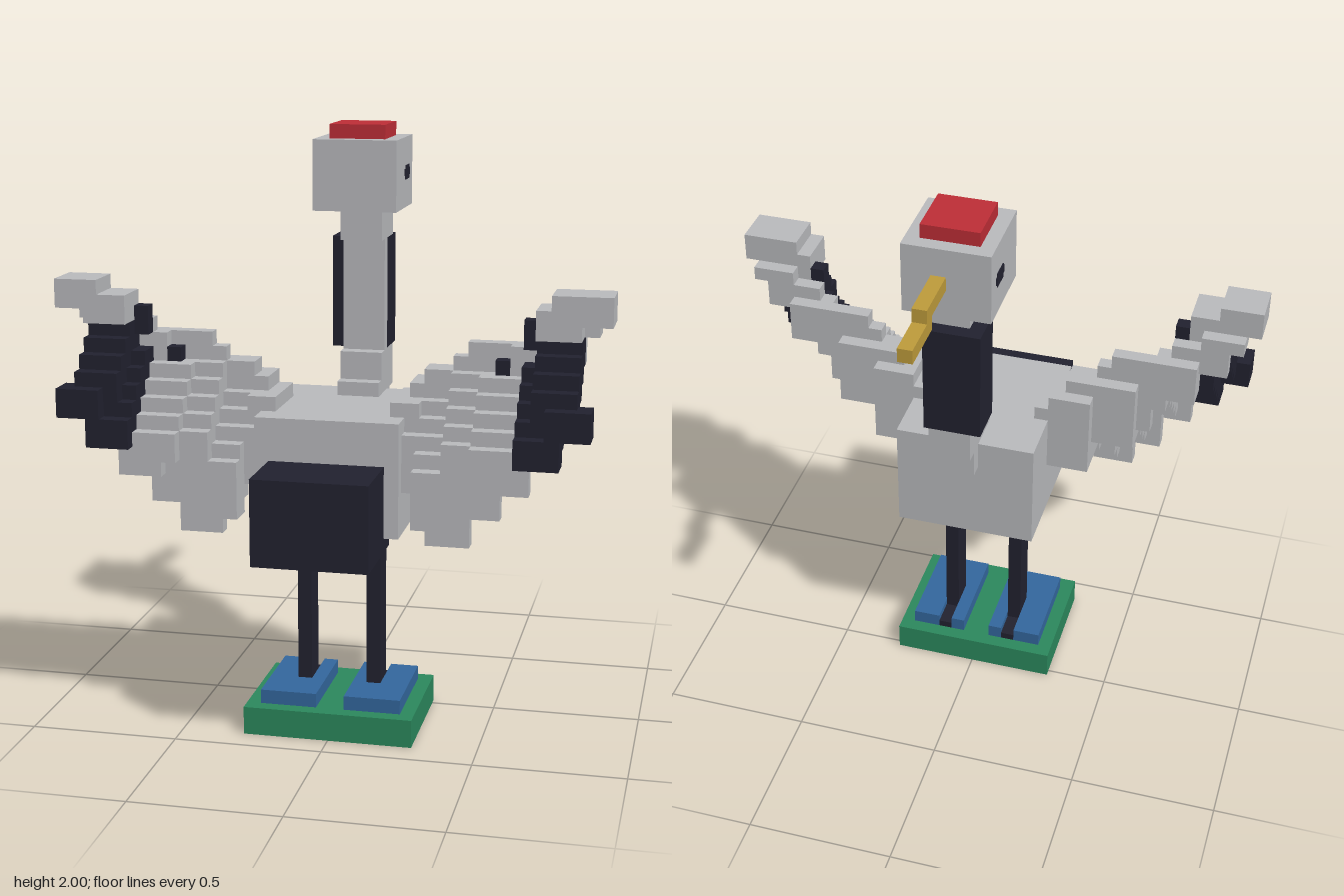
import * as THREE from 'three';

const U = 2 / 42; // one grid cell

const mat = (name, color) => {
  const m = new THREE.MeshStandardMaterial({ color });
  m.name = name;
  return m;
};

export function createModel() {
  const grey = mat('grey', 0xbbbcbf);
  const dark = mat('dark', 0x222230);
  const red = mat('red', 0xc02e37);
  const gold = mat('gold', 0xc09d3c);
  const blue = mat('blue', 0x34689f);
  const green = mat('green', 0x2c8a5e);

  const bird = new THREE.Group();
  bird.name = 'bird';
  // all parts are laid out in grid cells, then scaled
  bird.scale.setScalar(U);
  bird.position.set(-0.0025, 0, -0.0225);

  // box from its cell limits; side -1 mirrors it across x
  const box = (parent, name, m, [x0, x1, y0, y1, z0, z1], side = 1) => {
    const mesh = new THREE.Mesh(new THREE.BoxGeometry(x1 - x0, y1 - y0, z1 - z0), m);
    mesh.position.set(side * (x0 + x1) / 2, (y0 + y1) / 2, (z0 + z1) / 2);
    mesh.name = name;
    parent.add(mesh);
    return mesh;
  };

  // base, body, tail
  box(bird, 'base', green, [-6, 6, 0, 2, 0, 9]);
  box(bird, 'body', grey, [-5, 5, 15, 23, -2, 9]);
  box(bird, 'tail', dark, [-4, 4, 14, 20, 7, 14]);

  // neck
  box(bird, 'neckFront', grey, [-1, 2, 21, 23, -3, -2]);
  box(bird, 'neckFoot', grey, [-1, 2, 23, 24, -4, 1]);
  box(bird, 'neckLower', grey, [-1, 2, 24, 26, -4, 0]);
  box(bird, 'neckMiddle', grey, [-1, 2, 26, 34, -2, -1]);
  box(bird, 'neckUpper', grey, [-1, 2, 34, 36, -4, 0]);
  box(bird, 'throat', dark, [-2, 2, 26, 34, -5, -2]);

  // head
  box(bird, 'head', grey, [-3, 3, 36, 41, -6, 0]);
  box(bird, 'crown', red, [-2, 2, 41, 42, -5, -1]);
  box(bird, 'beakUpper', gold, [0, 1, 38, 39, -10, -6]);
  box(bird, 'beakLower', gold, [0, 1, 37, 38, -13, -9]);

  for (const side of [1, -1]) {
    // eye: thin plate with cut corners
    const eye = new THREE.Group();
    eye.name = side > 0 ? 'leftEye' : 'rightEye';
    box(eye, 'eyeWide', dark, [2.95, 3.05, 38.25, 38.75, -4.95, -3.05], side);
    box(eye, 'eyeTall', dark, [2.95, 3.06, 38, 39, -4.7, -3.3], side);
    bird.add(eye);

    // leg and foot, notched in front for the toe
    box(bird, 'leg', dark, [2, 3, 2, 15, 3, 5], side);
    box(bird, 'toe', dark, [2, 3, 2, 2.5, 1, 3], side);
    box(bird, 'footInner', blue, [1, 2, 2, 3, 1, 8], side);
    box(bird, 'footOuter', blue, [3, 5, 2, 3, 1, 8], side);
    box(bird, 'footBack', blue, [2, 3, 2, 3, 5, 8], side);

    const wing = new THREE.Group();
    wing.name = side > 0 ? 'leftWing' : 'rightWing';
    bird.add(wing);

    // leading edge, from the shoulder to the tip
    const arm = [
      [4, 6, 20, 24, 2, 7],
      [5, 8, 19, 25, 2, 5],
      [6, 11, 21, 26, 3, 5],
      [8, 12, 22, 27, 4, 5],
      [9, 13, 24, 28, 4, 5],
      [12, 15, 25, 28, 4, 6],
      [13, 17, 27, 29, 5, 6],
      [15, 18, 29, 30, 5, 7],
      [14, 17, 29, 31, 6, 9],
      [side > 0 ? 15 : 16, 19, 30, 32, 6, 9],
    ];
    arm.forEach((b) => box(wing, 'wingArm', grey, b, side));
    box(wing, 'wingSpot', dark, [11, 12, 26, 27, 5, 6], side);
    box(wing, 'wingSpot', dark, [13, 14, 28, 30, 6, 7], side);

    // feathers: stairs of boxes running down and back
    const feather = (name, m, x0, x1, y, h, z, drift) => {
      for (let k = 0; k < (m === dark ? 5 : 6); k++) {
        const s = Math.floor(k * drift);
        box(wing, name, m, [x0 + s, x1 + s, y - k, y - k + h, z + k, z + k + (m === dark || k < 5 ? 2 : 1)], side);
      }
    };
    feather('innerFeather', grey, 5, 8, 20, 4, 4, 0.4);
    feather('middleFeather', grey, 8, 11, 22, 4, 4, 0.2);
    feather('outerFeather', grey, 10, 13, 24, 2, 5, 0.2);
    feather('darkFeather', dark, 13, 16, 25, 2, 5.9, 0);
    feather('darkTipFeather', dark, 14, 17, 27, 2, 6, 0.25);
  }

  const model = new THREE.Group();
  model.name = 'model';
  model.add(bird);
  return model;
}
